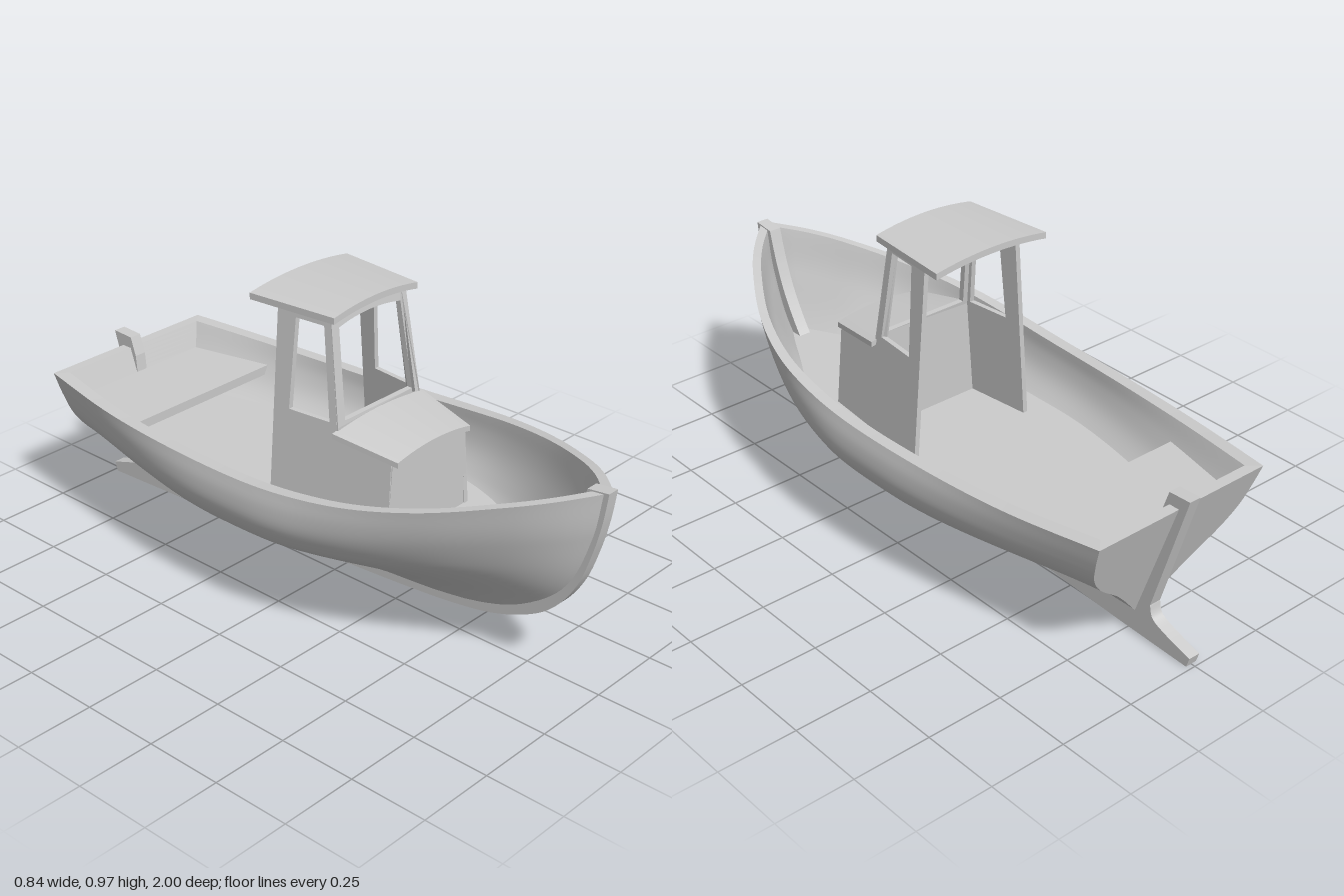
import * as THREE from 'three';

const { lerp, smoothstep } = THREE.MathUtils;
const material = new THREE.MeshStandardMaterial({ color: 0xcccccc, side: THREE.DoubleSide });

// Smooth curve through [position, value] pairs
function curve(pts, x) {
  let i = 0;
  while (i < pts.length - 2 && x > pts[i + 1][0]) i++;
  const slope = (a, b) => (pts[b][1] - pts[a][1]) / (pts[b][0] - pts[a][0]);
  const [x0, y0] = pts[i], [x1, y1] = pts[i + 1], h = x1 - x0;
  const m0 = slope(Math.max(i - 1, 0), i + 1) * h;
  const m1 = slope(i, Math.min(i + 2, pts.length - 1)) * h;
  const s = Math.min(1, Math.max(0, (x - x0) / h)), s2 = s * s, s3 = s2 * s;
  return (2 * s3 - 3 * s2 + 1) * y0 + (s3 - 2 * s2 + s) * m0 + (3 * s2 - 2 * s3) * y1 + (s3 - s2) * m1;
}

// Hull lines: sheer height and half beam along z, stem rake and section shapes by height
const SHEER = [[-0.92, 0.492], [-0.6, 0.478], [-0.3, 0.475], [0, 0.48], [0.2, 0.495], [0.4, 0.52], [0.6, 0.555], [0.8, 0.6], [0.985, 0.642]];
const BEAM = [[-0.92, 0.315], [-0.6, 0.372], [-0.3, 0.405], [0, 0.417], [0.2, 0.41], [0.4, 0.377], [0.6, 0.302], [0.8, 0.183], [0.9, 0.105], [0.985, 0.018]];
const STEM = [[0, 0.48], [0.06, 0.635], [0.17, 0.768], [0.39, 0.893], [0.73, 0.962], [1, 0.985]];
const MID = [[0, 0.05], [0.28, 0.48], [0.5, 0.86], [0.6, 0.945], [0.72, 0.995], [0.87, 1], [1, 0.975]];
const BOW = [[0, 0.06], [0.2, 0.28], [0.42, 0.54], [0.62, 0.73], [0.82, 0.89], [1, 1]];
const STERN = [[0, 0.06], [0.3, 0.42], [0.5, 0.73], [0.66, 0.89], [0.83, 0.96], [1, 1]];

const sheerZ = t => lerp(-0.92, 0.985, t);
const keelY = t => lerp(0.08, 0.1, t);

// Distance from outer to inner skin: thicker towards the bilge, thinner at the bow
const inset = (t, v) => lerp(0.038, 0.02, smoothstep(t, 0.5, 1)) + 0.1 * (1 - v) * (1 - smoothstep(t, 0.45, 0.8));

// Point on the hull: t runs stern to bow, v keel to sheer; inner gives the inside skin
function hull(t, v, inner = false) {
  const z = sheerZ(t);
  const bow = smoothstep(t, 0.5, 1), stern = 1 - smoothstep(t, 0, 0.4);
  const shape = curve(MID, v) * (1 - bow - stern) + curve(BOW, v) * bow + curve(STERN, v) * stern;
  const x = curve(BEAM, z) * shape;
  return [
    inner ? Math.max(0, x - inset(t, v)) : x,
    lerp(keelY(t), curve(SHEER, z), v),
    lerp(lerp(-0.78, -0.92, v), curve(STEM, v), t) + (inner ? lerp(0.035, -0.02, t) : 0),
  ];
}

// Surface from a function of two parameters in 0..1
function grid(fn, nu, nv) {
  const pos = [], index = [];
  for (let i = 0; i <= nu; i++) for (let j = 0; j <= nv; j++) {
    pos.push(...fn(i / nu, j / nv));
    if (i < nu && j < nv) {
      const a = i * (nv + 1) + j, b = a + nv + 1;
      index.push(a, b, a + 1, b, b + 1, a + 1);
    }
  }
  const g = new THREE.BufferGeometry();
  g.setAttribute('position', new THREE.Float32BufferAttribute(pos, 3));
  g.setIndex(index);
  g.computeVertexNormals();
  return g;
}

// Move every vertex by a rule
function bend(g, rule) {
  const p = g.attributes.position;
  for (let i = 0; i < p.count; i++) p.setXYZ(i, ...rule(p.getX(i), p.getY(i), p.getZ(i)));
  g.computeVertexNormals();
  return g;
}

const points = list => list.map(([x, y]) => new THREE.Vector2(x, y));
const extrude = (shape, depth) => new THREE.ExtrudeGeometry(shape, { depth, bevelEnabled: false, curveSegments: 16 });

// Flat floor with its top at height y, fitted to the inside skin
function floor(y, t0, t1, thickness) {
  const side = [];
  for (let i = 0; i <= 40; i++) {
    const t = lerp(t0, t1, i / 40);
    const k = keelY(t);
    const [x, , z] = hull(t, (y - k) / (curve(SHEER, sheerZ(t)) - k), true);
    side.push([x + 0.004, z]);
  }
  const mirror = side.map(([x, z]) => [-x, z]).reverse();
  return extrude(new THREE.Shape(points([...side, ...mirror])), thickness).rotateX(Math.PI / 2).translate(0, y, 0);
}

// Cambered slab tapering from back to front
function slab(back, front, camber, thickness) {
  return bend(new THREE.BoxGeometry(1, 1, 1, 20, 1, 1), (x, y, z) => {
    const f = z + 0.5;
    return [2 * x * lerp(back.half, front.half, f),
      lerp(back.y, front.y, f) + camber * (1 - 4 * x * x) + y * thickness,
      lerp(back.z, front.z, f)];
  });
}

export function createModel() {
  const model = new THREE.Group();
  const add = (name, geometry, parent = model) => {
    const mesh = new THREE.Mesh(geometry, material);
    mesh.name = name;
    parent.add(mesh);
  };

  // Hull shell, gunwale and transom
  const shell = new THREE.Group();
  shell.name = 'hull';
  model.add(shell);
  const skin = inner => grid((t, w) => {
    const s = w * 2 - 1, [x, y, z] = hull(t, Math.abs(s), inner);
    return [Math.sign(s) * x, y, z];
  }, 64, 64);
  add('outerHull', skin(false), shell);
  add('innerHull', skin(true), shell);
  for (const s of [-1, 1]) {
    add(s > 0 ? 'leftGunwale' : 'rightGunwale', grid((t, k) => {
      const [x, y, z] = hull(t, 1, k > 0.5);
      return [s * x, y, z];
    }, 64, 1), shell);
  }
  for (const inner of [false, true]) {
    add(inner ? 'innerTransom' : 'outerTransom', grid((w, v) => {
      const [x, y, z] = hull(0, v, inner);
      return [(w * 2 - 1) * x, y, z];
    }, 2, 32), shell);
  }
  add('transomRim', grid((w, k) => {
    const [x, y, z] = hull(0, 1, k > 0.5);
    return [(w * 2 - 1) * x, y, z];
  }, 1, 1), shell);

  // Stem, keel, skeg and sternpost as one profile in z and y
  const keel = new THREE.Shape();
  keel.moveTo(0.93, 0.64);
  keel.lineTo(1, 0.648);
  keel.splineThru(points([[0.985, 0.55], [0.96, 0.45], [0.92, 0.34], [0.86, 0.25], [0.78, 0.185],
    [0.65, 0.13], [0.5, 0.1], [0.3, 0.08], [0, 0.06], [-0.4, 0.033], [-0.7, 0.015], [-0.985, 0.003]]));
  keel.lineTo(-0.995, 0.035);
  keel.splineThru(points([[-0.9, 0.065], [-0.85, 0.09], [-0.837, 0.13]]));
  keel.lineTo(-0.958, 0.533);
  keel.lineTo(-0.882, 0.53);
  keel.lineTo(-0.862, 0.47);
  keel.lineTo(-0.855, 0.4);
  keel.lineTo(-0.74, 0.14);
  keel.lineTo(0.5, 0.17);
  keel.splineThru(points([[0.7, 0.23], [0.78, 0.3], [0.855, 0.42], [0.9, 0.53], [0.93, 0.64]]));
  add('keel', extrude(keel, 0.04).rotateY(-Math.PI / 2).translate(0.02, 0, 0));

  // Deck and stern bench
  add('deck', floor(0.31, 0, 1, 0.02));
  add('sternBench', floor(0.415, 0, 0.155, 0.03));

  // Cabin
  const cabin = new THREE.Group();
  cabin.name = 'cabin';
  model.add(cabin);
  const wallX = (y, z) => 0.196 - 0.075 * (y - 0.62) - 0.1 * z;

  // Side walls lean inwards towards the top and the bow
  const wall = new THREE.Shape(points([[-0.055, 0.3], [0.37, 0.3], [0.365, 0.57], [0.175, 0.605], [0.13, 0.945], [-0.055, 0.945]]));
  wall.holes.push(new THREE.Path(points([[0, 0.63], [0.01, 0.913], [0.11, 0.913], [0.146, 0.63]])));
  for (const s of [-1, 1]) {
    add(s > 0 ? 'leftCabinWall' : 'rightCabinWall',
      bend(extrude(wall, 0.016), (z, y, d) => [s * (wallX(y, z) - d), y, z]), cabin);
  }

  // Raked front wall with the windscreen opening
  const front = new THREE.Shape(points([[-0.2, 0.3], [0.2, 0.3], [0.178, 0.62], [0.159, 0.942]]));
  front.quadraticCurveTo(0, 0.972, -0.159, 0.942);
  front.lineTo(-0.178, 0.62);
  const screen = new THREE.Path(points([[-0.146, 0.633], [-0.131, 0.906]]));
  screen.quadraticCurveTo(0, 0.935, 0.131, 0.906);
  screen.lineTo(0.146, 0.633);
  front.holes.push(screen);
  add('windscreenFrame', bend(extrude(front, 0.018),
    (x, y, d) => [x, y, 0.177 - 0.138 * Math.max(0, y - 0.62) - d]), cabin);

  // Low trunk ahead of the cabin
  const trunk = new THREE.Shape(points([[-0.182, 0.3], [0.182, 0.3], [0.16, 0.564]]));
  trunk.quadraticCurveTo(0, 0.6, -0.16, 0.564);
  add('trunkFront', extrude(trunk, 0.016).translate(0, 0, 0.352), cabin);
  add('trunkRoof', slab({ z: 0.172, y: 0.6, half: 0.198 }, { z: 0.387, y: 0.567, half: 0.16 }, 0.018, 0.017), cabin);

  // Cabin roof
  add('cabinRoof', slab({ z: -0.14, y: 0.946, half: 0.206 }, { z: 0.162, y: 0.946, half: 0.178 }, 0.018, 0.02), cabin);

  return model;
}
